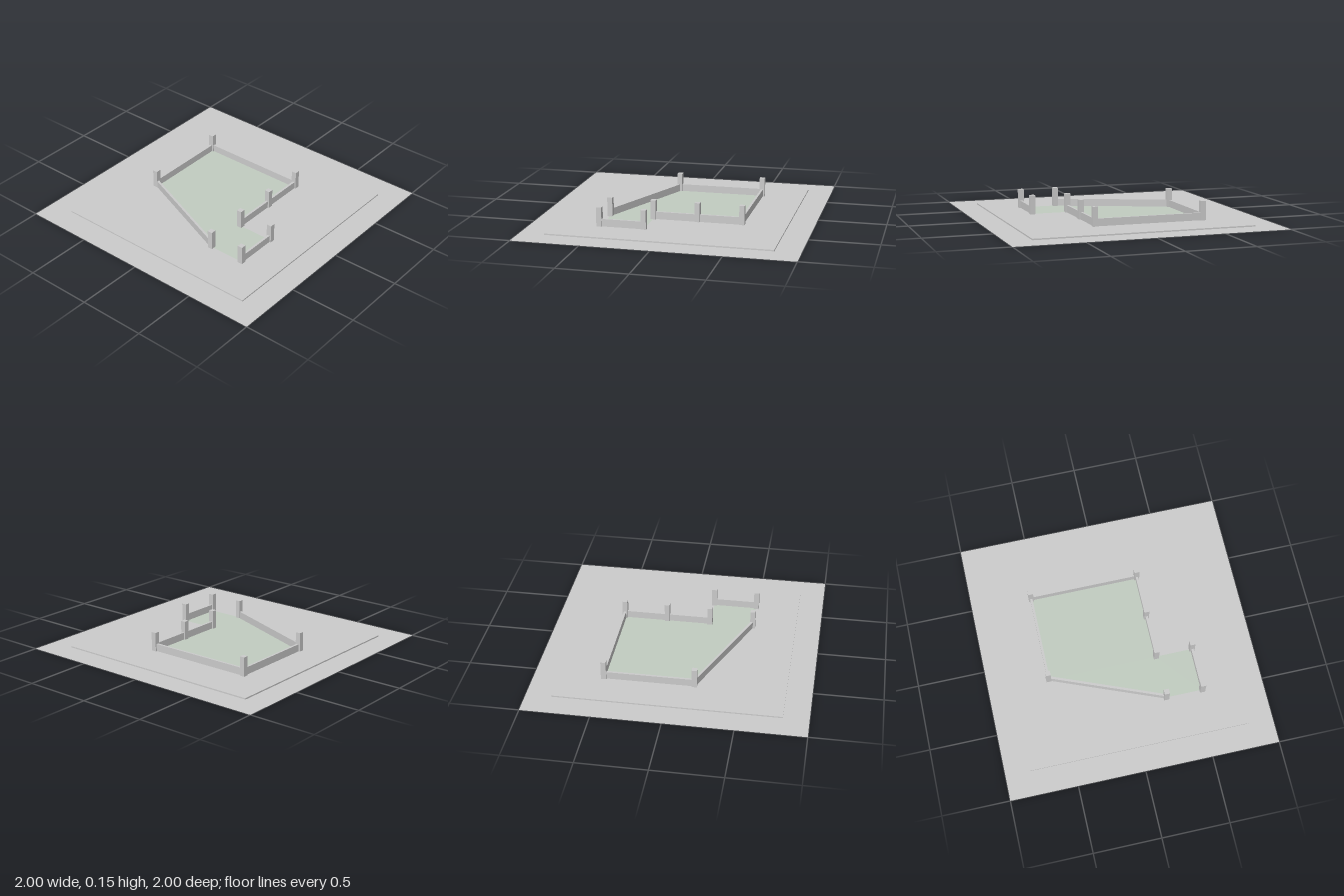
import * as THREE from 'three';

const SLAB = 0.01, WALL_TOP = 0.065, POST_TOP = 0.152;
const X = [-0.547, 0.272, 0.545], Z = [-0.492, -0.164, 0.164, 0.492];

export function createModel() {
  const model = new THREE.Group();
  const grey = new THREE.MeshStandardMaterial({ color: 0xcccccc });
  const sheet = new THREE.MeshStandardMaterial({ color: 0xcccccc, side: THREE.DoubleSide });
  const green = new THREE.MeshStandardMaterial({ color: 0xc1ccc0, side: THREE.DoubleSide });

  const add = (name, geometry, material, x = 0, y = 0, z = 0) => {
    const mesh = new THREE.Mesh(geometry, material);
    mesh.name = name;
    mesh.position.set(x, y, z);
    model.add(mesh);
    return mesh;
  };

  // Thin ground sheet and the raised slab on it
  add('ground', new THREE.PlaneGeometry(2, 2).rotateX(-Math.PI / 2), sheet);
  add('slab', new THREE.BoxGeometry(1.632, SLAB, 1.632), grey, 0, SLAB / 2, 0);

  // Post positions
  const backLeft = [X[1], Z[0]], backRight = [X[0], Z[0]], midLeft = [X[1], Z[1]];
  const innerCorner = [X[1], Z[2]], sideRight = [X[0], Z[2]], frontCorner = [X[1], Z[3]];
  const porchBack = [X[2], Z[2]], porchFront = [X[2], Z[3]];

  // Tinted floor following the plan; shape y is -z
  const outline = [backRight, backLeft, innerCorner, porchBack, porchFront, frontCorner, sideRight];
  const plan = new THREE.Shape(outline.map(([x, z]) => new THREE.Vector2(x, -z)));
  add('floor', new THREE.ShapeGeometry(plan).rotateX(-Math.PI / 2), green, 0, SLAB + 0.001, 0);

  // Square posts
  const postHeight = POST_TOP - SLAB;
  for (const [x, z] of [backLeft, backRight, midLeft, innerCorner, sideRight, frontCorner, porchBack, porchFront]) {
    add('post', new THREE.BoxGeometry(0.038, postHeight, 0.038), grey, x, SLAB + postHeight / 2, z);
  }

  // Low walls running from post to post
  const wallHeight = WALL_TOP - SLAB;
  const walls = [[backRight, backLeft], [backLeft, midLeft], [midLeft, innerCorner],
    [backRight, sideRight], [sideRight, frontCorner], [porchBack, porchFront]];
  for (const [[x1, z1], [x2, z2]] of walls) {
    const length = Math.hypot(x2 - x1, z2 - z1);
    const wall = add('wall', new THREE.BoxGeometry(length, wallHeight, 0.017), grey,
      (x1 + x2) / 2, SLAB + wallHeight / 2, (z1 + z2) / 2);
    wall.rotation.y = -Math.atan2(z2 - z1, x2 - x1);
  }
  return model;
}
